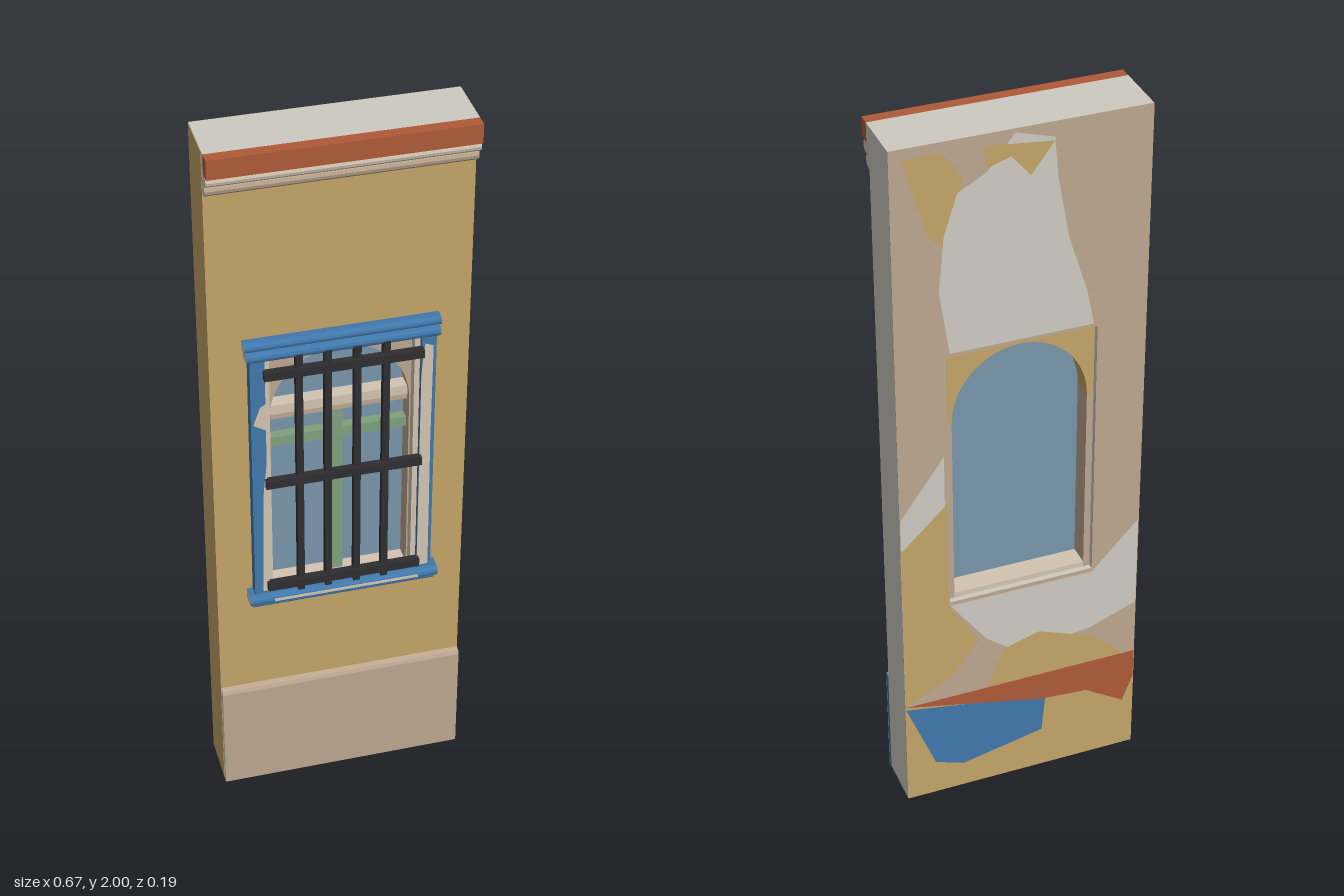
import * as THREE from 'three';

const mat = (name, hex) => {
  const m = new THREE.MeshStandardMaterial({ color: hex });
  m.name = name;
  return m;
};

export function createModel() {
  const ochre = mat('ochre plaster', 0xc3a468);
  const beige = mat('beige plaster', 0xbca68f);
  const gray = mat('bare gray render', 0xcdcac1);
  const red = mat('terracotta', 0xae5a38);
  const blue = mat('blue paint', 0x4078ab);
  const iron = mat('dark iron', 0x2f2d31);
  const green = mat('sage green', 0x80a07e);
  const glass = mat('window glass', 0x7795aa);
  glass.side = THREE.DoubleSide;
  const cream = mat('worn cream', 0xd2c4b2);

  const root = new THREE.Group();
  root.name = 'wallWithBarredWindow';
  const add = (name, geo, material, parent = root) => {
    const m = new THREE.Mesh(geo, material);
    m.name = name;
    parent.add(m);
    return m;
  };
  // box given by its limits
  const box = (name, x0, x1, y0, y1, z0, z1, material, parent) => {
    const g = new THREE.BoxGeometry(x1 - x0, y1 - y0, z1 - z0);
    g.translate((x0 + x1) / 2, (y0 + y1) / 2, (z0 + z1) / 2);
    return add(name, g, material, parent);
  };
  const poly = (pts) => new THREE.Shape(pts.map(([x, y]) => new THREE.Vector2(x, y)));
  const rect = (x0, x1, y0, y1) => poly([[x0, y0], [x1, y0], [x1, y1], [x0, y1]]);
  const extrude = (shape, z0, z1) => {
    const g = new THREE.ExtrudeGeometry(shape, { depth: z1 - z0, bevelEnabled: false, curveSegments: 16 });
    return g.translate(0, 0, z0);
  };
  // moulding: a (z, y) profile swept along x; materials are [ends, length]
  const moulding = (name, pts, halfX, materials, parent) => {
    const g = new THREE.ExtrudeGeometry(poly(pts.map(([z, y]) => [-z, y])), { depth: 2 * halfX, bevelEnabled: false });
    g.translate(0, 0, -halfX).rotateY(Math.PI / 2);
    return add(name, g, materials, parent);
  };
  // round-nosed profile between two heights
  const nosed = (y0, y1, z0, z1) => {
    const r = (y1 - y0) / 2, pts = [[z0, y0]];
    for (let i = 0; i <= 6; i++) {
      const a = -Math.PI / 2 + (i / 6) * Math.PI;
      pts.push([z1 - r + r * Math.cos(a), (y0 + y1) / 2 + r * Math.sin(a)]);
    }
    pts.push([z0, y1]);
    return pts;
  };

  const W = 0.332, ZB = -0.095, ZF = 0.042;

  // wall slab with a rectangular window opening
  const slab = rect(-W, W, 0.002, 2);
  slab.holes.push(rect(-0.2, 0.2, 0.65, 1.41));
  add('wall', extrude(slab, ZB, ZF), [ochre, gray]);
  box('rightEdgePaint', -W - 0.001, -W, 0.002, 1.998, ZB, ZF, ochre);
  box('underside', -W, W, 0, 0.002, ZB, ZF, blue);

  // rear face and its weathered patches
  const back = new THREE.Group();
  back.name = 'rearFinish';
  root.add(back);
  const backShape = rect(-W, W, 0.002, 2);
  backShape.holes.push(rect(-0.2, 0.2, 0.65, 1.41));
  add('rearPlaster', extrude(backShape, ZB - 0.001, ZB), beige, back);
  const patches = [
    ['upperOchrePatch', ochre, [[0.3, 1.97], [0.2, 1.97], [0.15, 1.9], [0.2, 1.72], [0.24, 1.76]]],
    ['upperGrayPatch', gray, [[0.02, 1.99], [0.09, 1.9], [0.165, 1.86], [0.2, 1.75], [0.215, 1.6], [0.19, 1.42],
      [-0.19, 1.42], [-0.17, 1.52], [-0.12, 1.68], [-0.09, 1.85], [-0.08, 1.96]]],
    ['topOchrePatch', ochre, [[0.1, 1.97], [0.09, 1.91], [0.03, 1.93], [-0.02, 1.87], [-0.08, 1.95]]],
    ['sideGrayPatch', gray, [[0.33, 0.95], [0.21, 1.12], [0.21, 0.95], [0.33, 0.8]]],
    ['sideOchrePatch', ochre, [[0.33, 0.85], [0.205, 0.97], [0.205, 0.64], [0.12, 0.5], [0.2, 0.4], [0.33, 0.33]]],
    ['lowerGrayPatch', gray, [[0.2, 0.64], [-0.2, 0.64], [-0.33, 0.78], [-0.33, 0.5], [-0.2, 0.45], [0, 0.42], [0.1, 0.5]]],
    ['lowerOchrePatch', ochre, [[0.1, 0.33], [0.05, 0.45], [-0.05, 0.48], [-0.2, 0.42], [-0.3, 0.33]]],
    ['baseOchre', ochre, [[-W, 0.002], [W, 0.002], [W, 0.33], [-W, 0.33]]],
    ['baseBluePatch', blue, [[0.33, 0.32], [-0.07, 0.25], [-0.06, 0.13], [0.17, 0.08], [0.25, 0.11]]],
    ['baseRedPatch', red, [[0.33, 0.33], [-0.33, 0.33], [-0.33, 0.24], [-0.3, 0.16], [-0.19, 0.23], [-0.06, 0.24]]],
  ];
  patches.forEach(([name, material, pts], i) => {
    const g = new THREE.ShapeGeometry(poly(pts.map(([x, y]) => [-x, y])));
    add(name, g.rotateY(Math.PI).translate(0, 0, ZB - 0.0014 - i * 0.0003), material, back);
  });

  // plinth with a small rounded top
  moulding('plinth', [[ZF, 0], [0.06, 0], [0.06, 0.322], [0.056, 0.332], [ZF, 0.336]], W, [gray, beige]);
  box('plinthEndPaint', W, W + 0.0005, 0, 0.33, ZF, 0.056, blue);

  // cornice: stepped moulding under a tile course
  const cornice = new THREE.Group();
  cornice.name = 'cornice';
  root.add(cornice);
  moulding('lowerMoulding', nosed(1.885, 1.92, ZF, 0.066), W, [cream, beige], cornice);
  moulding('upperMoulding', nosed(1.918, 1.95, ZF, 0.082), W, [cream, cream], cornice);
  box('tileBacking', -W, W, 1.948, 2, ZF, 0.058, gray, cornice);
  const joints = [-W, -0.21, 0.015, 0.23, W];
  for (let i = 0; i < 4; i++) {
    box('corniceTile', joints[i], joints[i + 1], 1.948, 2, 0.058, 0.09, red, cornice);
  }

  // arched lining inside the opening
  const lining = new THREE.Group();
  lining.name = 'archLining';
  root.add(lining);
  const head = new THREE.Shape();
  head.moveTo(-0.2, 1.2);
  head.lineTo(-0.182, 1.2);
  head.absellipse(0, 1.2, 0.182, 0.195, Math.PI, 0, true);
  head.lineTo(0.2, 1.2);
  head.lineTo(0.2, 1.41);
  head.lineTo(-0.2, 1.41);
  add('archHead', extrude(head, -0.08, 0.03), ochre, lining);
  add('archHeadFace', extrude(head, 0.03, 0.032), beige, lining);
  for (const s of [-1, 1]) {
    box('liningJamb', s * 0.191 - 0.009, s * 0.191 + 0.009, 0.65, 1.2, -0.08, 0.032, beige, lining);
  }
  box('liningSill', -0.182, 0.182, 0.65, 0.665, -0.08, 0.032, cream, lining);

  // glazing and sash bars
  const sash = new THREE.Group();
  sash.name = 'sash';
  root.add(sash);
  const pane = new THREE.Shape();
  pane.moveTo(-0.183, 0.664);
  pane.lineTo(0.183, 0.664);
  pane.absellipse(0, 1.2, 0.183, 0.196, 0, Math.PI, false);
  add('glassPane', new THREE.ShapeGeometry(pane, 16).translate(0, 0, -0.02), glass, sash);
  box('transom', -0.183, 0.183, 1.205, 1.232, -0.018, 0.02, cream, sash);
  box('transomLowerEdge', -0.183, 0.183, 1.185, 1.205, -0.018, 0.012, beige, sash);
  box('sashRail', -0.183, 0.183, 1.095, 1.125, -0.018, 0.008, green, sash);
  box('mullion', -0.014, 0.014, 0.665, 1.185, -0.018, 0.01, green, sash);

  // painted surround: jambs, lintel and sill
  const frame = new THREE.Group();
  frame.name = 'windowSurround';
  root.add(frame);
  for (const s of [-1, 1]) {
    const span = (a, b) => (s > 0 ? [a, b] : [-b, -a]);
    box('jamb', ...span(0.2, 0.238), 0.665, 1.42, ZF, 0.072, blue, frame);
    box('jambInnerBead', ...span(0.186, 0.2), 0.665, 1.42, ZF - 0.01, 0.058, cream, frame);
  }
  // worn paint on the jambs
  const worn = [
    [[0.2, 0.68], [0.23, 0.68], [0.228, 1.1], [0.23, 1.38], [0.208, 1.39], [0.2, 1.3]],
    [[-0.232, 1.22], [-0.2, 1.2], [-0.2, 1.28], [-0.215, 1.27]],
    [[-0.216, 0.68], [-0.2, 0.68], [-0.2, 1.1], [-0.21, 1.0]],
  ];
  for (const pts of worn) add('wornJambPaint', extrude(poly(pts), 0.072, 0.0735), cream, frame);
  const painted = [gray, blue];
  moulding('lintelLower', nosed(1.408, 1.438, ZF, 0.082), 0.246, painted, frame);
  moulding('lintelUpper', nosed(1.435, 1.46, ZF, 0.072), 0.25, painted, frame);
  moulding('sillUpper', nosed(0.642, 0.672, ZF, 0.09), 0.254, painted, frame);
  moulding('sillLower', nosed(0.63, 0.65, ZF, 0.08), 0.246, painted, frame);
  box('wornSillPaint', -0.19, 0.2, 0.653, 0.661, 0.085, 0.0905, cream, frame);

  // iron grille
  const grille = new THREE.Group();
  grille.name = 'grille';
  root.add(grille);
  for (const x of [-0.115, -0.042, 0.034, 0.108]) {
    box('verticalBar', x - 0.009, x + 0.009, 0.66, 1.42, 0.063, 0.081, iron, grille);
  }
  for (const y of [0.7, 1.036, 1.37]) {
    box('crossBar', -0.205, 0.203, y - 0.012, y + 0.012, 0.068, 0.088, iron, grille);
  }
  return root;
}
